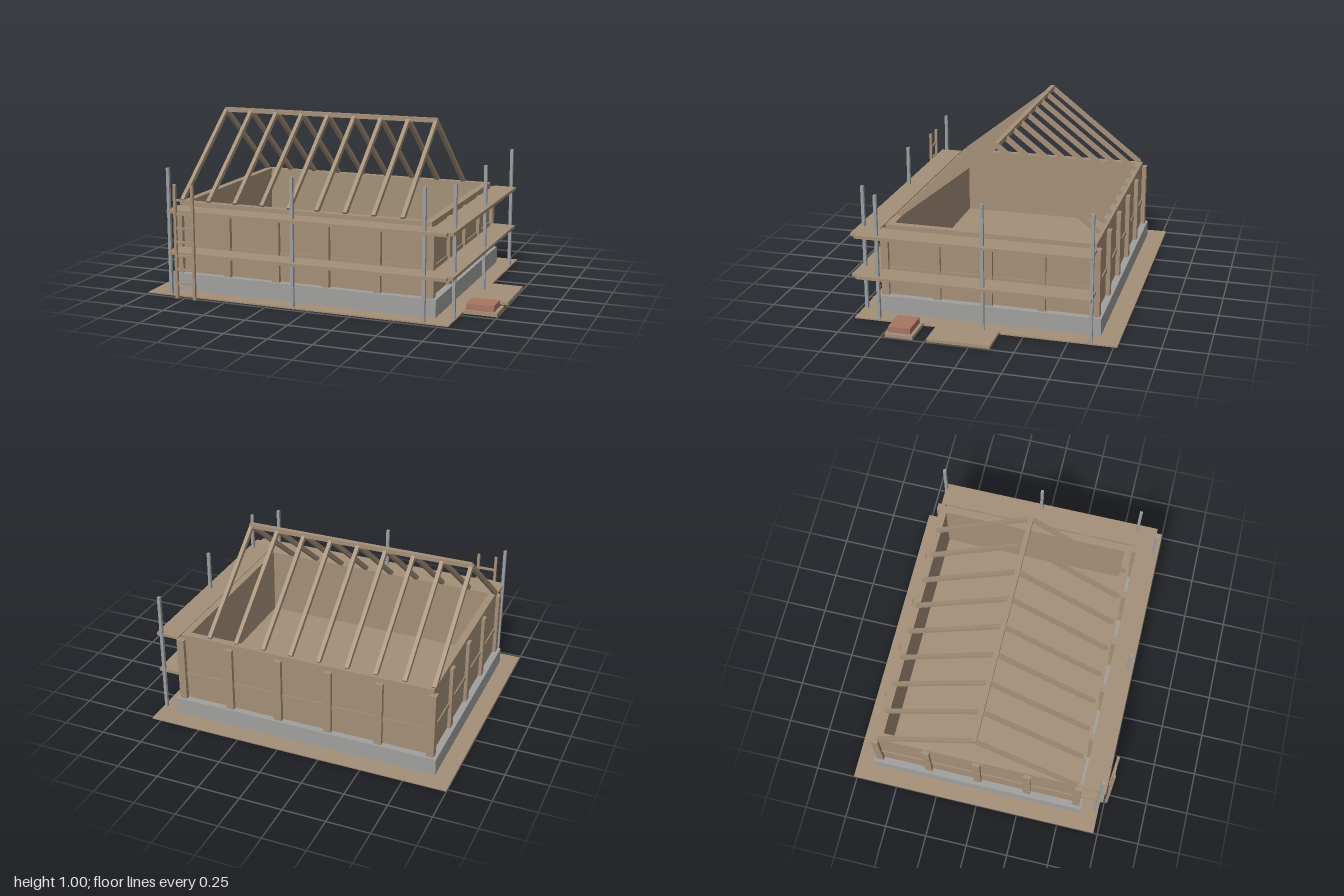
import * as THREE from 'three';

const timber = new THREE.MeshStandardMaterial({ color: 0xa48f78 });
timber.name = 'timber';
const concrete = new THREE.MeshStandardMaterial({ color: 0x9f9f9d });
concrete.name = 'concrete';
const steel = new THREE.MeshStandardMaterial({ color: 0x9b9ea0 });
steel.name = 'steel';
const brick = new THREE.MeshStandardMaterial({ color: 0xa87564 });
brick.name = 'brick';

// Box given by its limits on each axis
function block(parent, name, material, x0, x1, y0, y1, z0, z1) {
  const mesh = new THREE.Mesh(new THREE.BoxGeometry(x1 - x0, y1 - y0, z1 - z0), material);
  mesh.position.set((x0 + x1) / 2, (y0 + y1) / 2, (z0 + z1) / 2);
  mesh.name = name;
  parent.add(mesh);
  return mesh;
}

function part(parent, name) {
  const group = new THREE.Group();
  group.name = name;
  parent.add(group);
  return group;
}

// Rectangular frame of four beams, from outer half sizes and beam width
function frame(parent, name, hx, hz, w, y0, y1) {
  for (const s of [-1, 1]) {
    const z = s * (hz - w / 2), x = s * (hx - w / 2);
    block(parent, name, timber, -hx, hx, y0, y1, z - w / 2, z + w / 2);
    block(parent, name, timber, x - w / 2, x + w / 2, y0, y1, -hz + w, hz - w);
  }
}

// House shell, built around its own centre
function buildHouse(house) {
  const base = 0.108, hx = 0.76, hz = 0.6;
  block(house, 'foundation', concrete, -0.8, 0.8, 0.002, base, -0.64, 0.64);
  block(house, 'floor', timber, -0.73, 0.73, base - 0.01, base + 0.006, -0.57, 0.57);
  frame(house, 'wall', hx, hz, 0.04, base, 0.503);
  frame(house, 'topPlate', hx, hz, 0.042, 0.503, 0.524);
  frame(house, 'midRail', hx + 0.007, hz + 0.007, 0.02, 0.25, 0.277);

  // Studs standing proud of the walls
  const studs = part(house, 'studs');
  const h = 0.022;
  for (const s of [-1, 1]) {
    for (let i = 1; i < 5; i++) {
      const x = -0.757 + i * 0.303;
      block(studs, 'stud', timber, x - h, x + h, base, 0.497, s * 0.605 - 0.02, s * 0.605 + 0.02);
    }
    for (let i = 1; i < 4; i++) {
      const z = -0.602 + i * 0.301;
      block(studs, 'stud', timber, s * 0.76 - 0.02, s * 0.76 + 0.02, base, 0.497, z - h, z + h);
    }
    for (const t of [-1, 1]) {
      const x = s * 0.759, z = t * 0.604;
      block(studs, 'cornerPost', timber, x - h, x + h, base, 0.497, z - h, z + h);
    }
  }

  // Open roof: rafter pairs and a ridge beam
  const roof = part(house, 'roof');
  block(roof, 'ridgeBeam', timber, -0.76, 0.6, 0.97, 0.996, -0.014, 0.014);
  const run = 0.58, rise = 0.455, length = Math.hypot(run, rise);
  for (let i = 0; i < 9; i++) {
    for (const s of [-1, 1]) {
      const rafter = new THREE.Mesh(new THREE.BoxGeometry(0.022, 0.026, length), timber);
      rafter.position.set(-0.755 + i * 0.168, 0.524 + rise / 2, s * run / 2);
      rafter.rotation.x = s * Math.atan2(rise, run);
      rafter.name = 'rafter';
      roof.add(rafter);
    }
  }
}

// Scaffold along the front and the left side
function buildScaffold(scaffold) {
  const poles = [[-0.86, 0.708], [-0.1, 0.708], [0.66, 0.708], [0.79, 0.585], [0.79, -0.018], [0.79, -0.622]];
  for (const [x, z] of poles) {
    block(scaffold, 'pole', steel, x - 0.009, x + 0.009, 0, 0.74, z - 0.009, z + 0.009);
  }
  for (const y of [0.246, 0.487]) {
    block(scaffold, 'frontPlatform', timber, -0.86, 0.79, y, y + 0.018, 0.605, 0.738);
    block(scaffold, 'sidePlatform', timber, 0.68, 0.82, y, y + 0.018, -0.625, 0.705);
  }
}

// Upright ladder by the front platform
function buildLadder(ladder) {
  for (const x of [-0.793, -0.683]) {
    block(ladder, 'ladderRail', timber, x - 0.008, x + 0.008, 0, 0.66, 0.752, 0.768);
  }
  for (let i = 0; i < 7; i++) {
    const y = 0.09 + i * 0.08;
    block(ladder, 'rung', timber, -0.785, -0.691, y - 0.006, y + 0.006, 0.754, 0.766);
  }
}

export function createModel() {
  const model = new THREE.Group();
  model.name = 'houseUnderConstruction';
  block(model, 'ground', timber, -1, 0.805, 0, 0.008, -0.77, 0.725);

  const house = part(model, 'house');
  house.position.set(-0.1, 0, -0.02);
  buildHouse(house);
  buildScaffold(part(model, 'scaffold'));
  buildLadder(part(model, 'ladder'));

  // Material stacks beside the plot
  const supplies = part(model, 'supplies');
  block(supplies, 'boardStack', timber, 0.81, 1, 0.004, 0.021, -0.118, 0.237);
  block(supplies, 'pallet', timber, 0.81, 1, 0.004, 0.024, 0.317, 0.477);
  block(supplies, 'brickStack', brick, 0.822, 0.98, 0.024, 0.059, 0.335, 0.463);
  return model;
}
